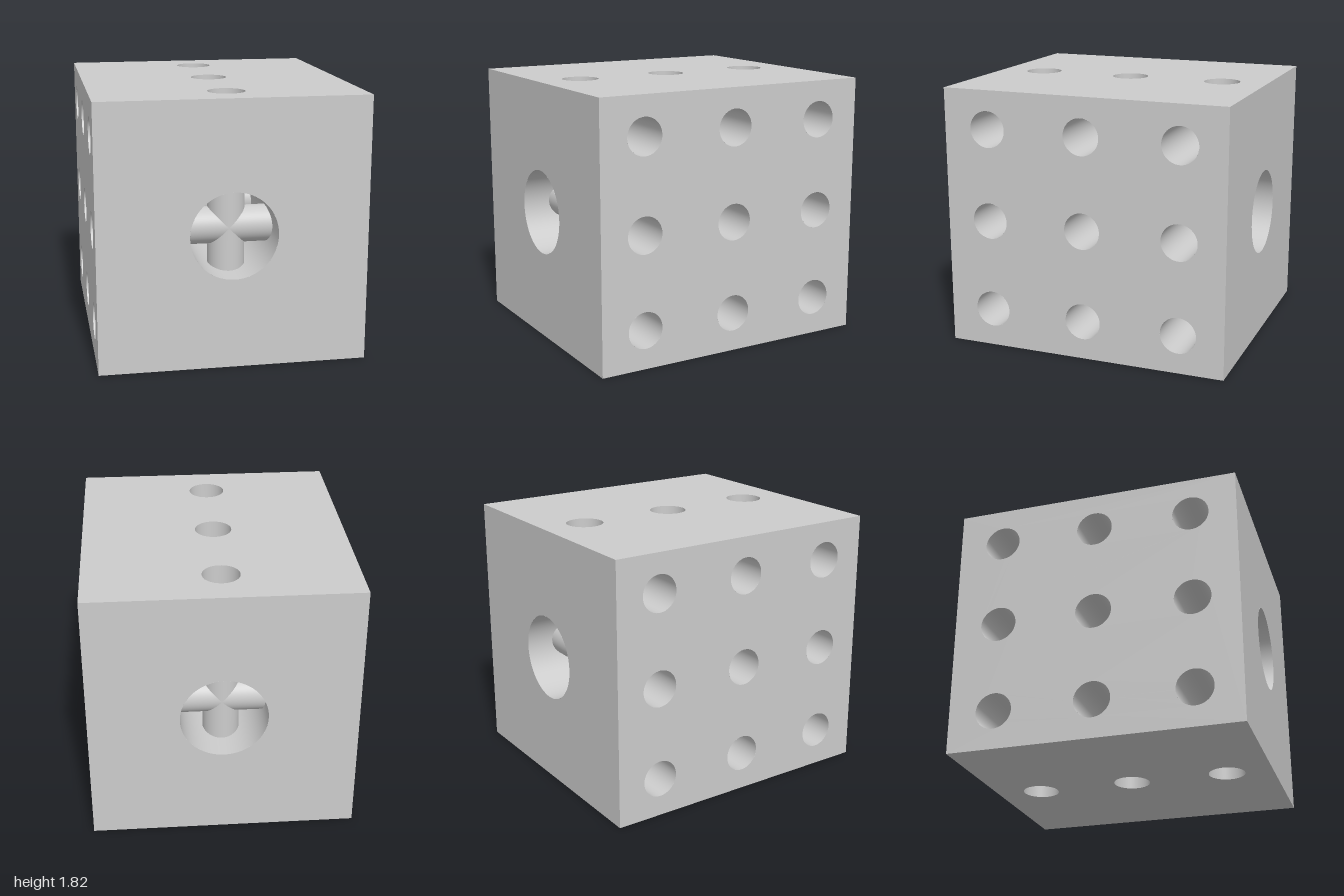
import * as THREE from 'three';

const W = 1.815, H = 1.815, D = 2;       // block size
const BORE = 0.295, PIPE = 0.126;        // radii
const PITCH_Z = 0.682, PITCH_Y = 0.64;   // pipe spacing
const SEG = 64;
const steps = [-1, 0, 1];

export function createModel() {
  const model = new THREE.Group();
  const grey = new THREE.MeshStandardMaterial({ color: 0xcccccc, side: THREE.DoubleSide });
  grey.name = 'grey';

  // Flat wall with round openings, centred on its own origin, facing +z
  const wall = (name, w, h, radius, centres) => {
    const s = new THREE.Shape();
    s.moveTo(-w / 2, -h / 2);
    s.lineTo(w / 2, -h / 2);
    s.lineTo(w / 2, h / 2);
    s.lineTo(-w / 2, h / 2);
    s.closePath();
    for (const [x, y] of centres) {
      s.holes.push(new THREE.Path().absarc(x, y, radius, 0, Math.PI * 2, true));
    }
    const mesh = new THREE.Mesh(new THREE.ShapeGeometry(s, SEG), grey);
    mesh.name = name;
    model.add(mesh);
    return mesh;
  };

  // Open-ended pipe wall along y, turned afterwards where needed
  const pipe = (name, radius, length) => {
    const mesh = new THREE.Mesh(
      new THREE.CylinderGeometry(radius, radius, length, SEG, 1, true), grey);
    mesh.name = name;
    model.add(mesh);
    return mesh;
  };

  const row = steps.map(k => [0, k * PITCH_Z]);
  const grid = steps.flatMap(i => steps.map(j => [i * PITCH_Z, j * PITCH_Y]));

  // Block walls, in mirrored pairs
  for (const s of [1, -1]) {
    const end = wall(s > 0 ? 'frontWall' : 'backWall', W, H, BORE, [[0, 0]]);
    end.position.set(0, H / 2, s * D / 2);
    end.rotation.y = s > 0 ? 0 : Math.PI;

    const side = wall(s > 0 ? 'leftWall' : 'rightWall', D, H, PIPE, grid);
    side.position.set(s * W / 2, H / 2, 0);
    side.rotation.y = s * Math.PI / 2;

    const lid = wall(s > 0 ? 'topWall' : 'bottomWall', W, D, PIPE, row);
    lid.position.y = s > 0 ? H : 0;
    lid.rotation.x = -s * Math.PI / 2;
  }

  // Wide bore from front to back
  const bore = pipe('mainBore', BORE, D);
  bore.position.y = H / 2;
  bore.rotation.x = Math.PI / 2;

  // Narrow pipes crossing the block and the bore
  for (const k of steps) {
    pipe('uprightPipe', PIPE, H).position.set(0, H / 2, k * PITCH_Z);
    for (const j of steps) {
      const cross = pipe('crossPipe', PIPE, W);
      cross.position.set(0, H / 2 + j * PITCH_Y, k * PITCH_Z);
      cross.rotation.z = Math.PI / 2;
    }
  }
  return model;
}
